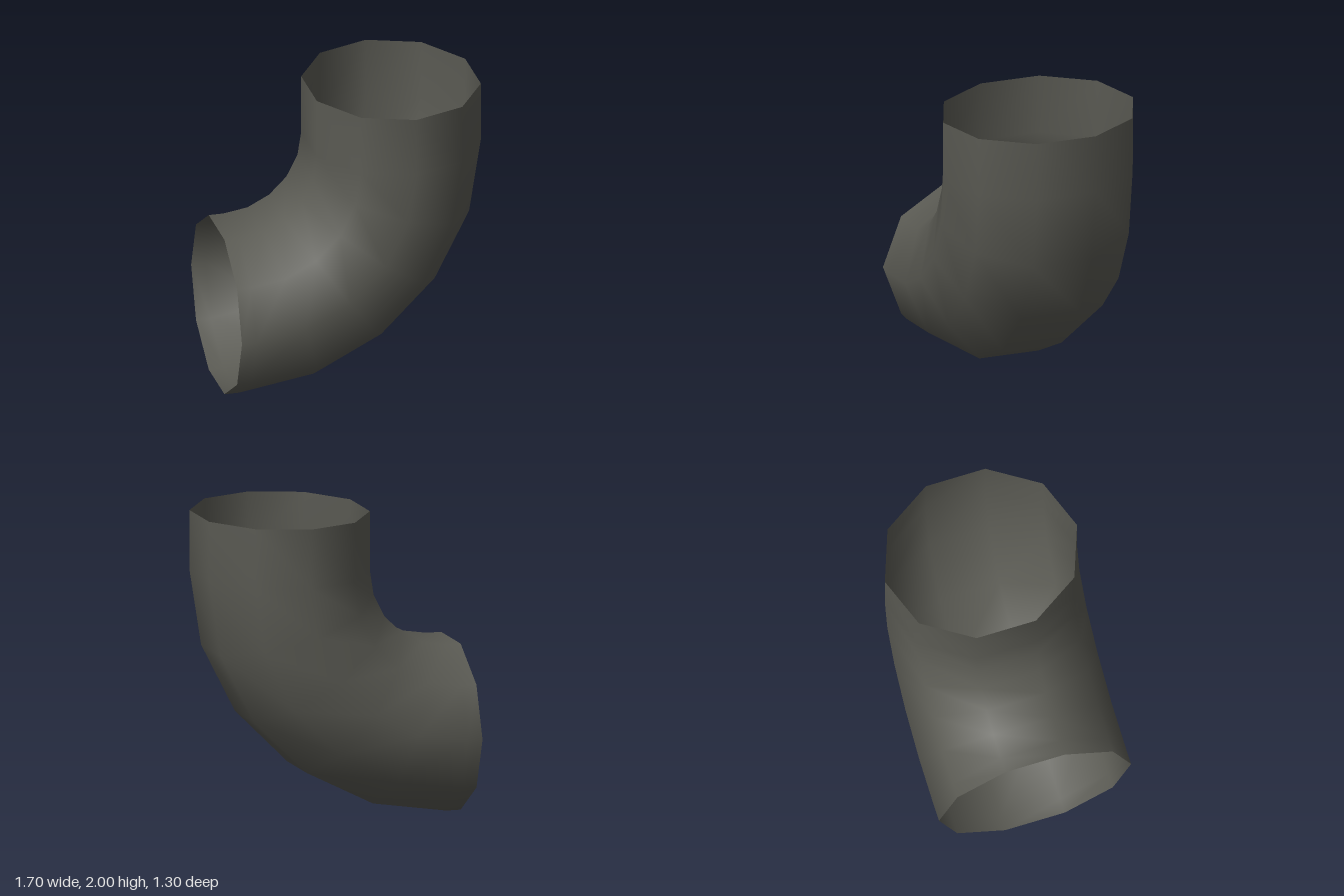
import * as THREE from 'three';

const SIDES = 10, STEPS = 5;
const BEND = { x: -0.757, y: 1.608, radius: 1.062 }; // centre and radius of the bend
const HALF_WIDTH = 0.573, HALF_DEPTH = 0.648;        // oval section

export function createModel() {
  const group = new THREE.Group();
  group.name = 'pipeElbow';
  const darkGrey = new THREE.MeshStandardMaterial({ color: 0x5a5a53, side: THREE.DoubleSide });
  darkGrey.name = 'dark grey';

  // Stations along the pipe: bend angle plus a straight offset at each end
  const stations = [{ angle: 0, dx: 0, dy: 2 - BEND.y }];
  for (let i = 0; i <= STEPS; i++) stations.push({ angle: (i / STEPS) * Math.PI / 2, dx: 0, dy: 0 });
  stations.push({ angle: Math.PI / 2, dx: -0.855 - BEND.x, dy: 0 });

  // Ten-sided ring at each station
  const positions = [], indices = [];
  for (const { angle, dx, dy } of stations) {
    for (let j = 0; j < SIDES; j++) {
      const phi = ((j + 0.5) / SIDES) * Math.PI * 2;
      const r = BEND.radius + HALF_WIDTH * Math.cos(phi);
      positions.push(
        BEND.x + r * Math.cos(angle) + dx,
        BEND.y - r * Math.sin(angle) + dy,
        HALF_DEPTH * Math.sin(phi));
    }
  }

  // Join neighbouring rings, leaving both ends open
  for (let i = 0; i < stations.length - 1; i++) {
    for (let j = 0; j < SIDES; j++) {
      const k = (j + 1) % SIDES;
      const a = i * SIDES + j, b = i * SIDES + k;
      const c = a + SIDES, d = b + SIDES;
      indices.push(a, b, c, b, d, c);
    }
  }
  const geometry = new THREE.BufferGeometry();
  geometry.setAttribute('position', new THREE.Float32BufferAttribute(positions, 3));
  geometry.setIndex(indices);
  geometry.computeVertexNormals();

  const pipe = new THREE.Mesh(geometry, darkGrey);
  pipe.name = 'bentPipe';
  group.add(pipe);
  return group;
}
